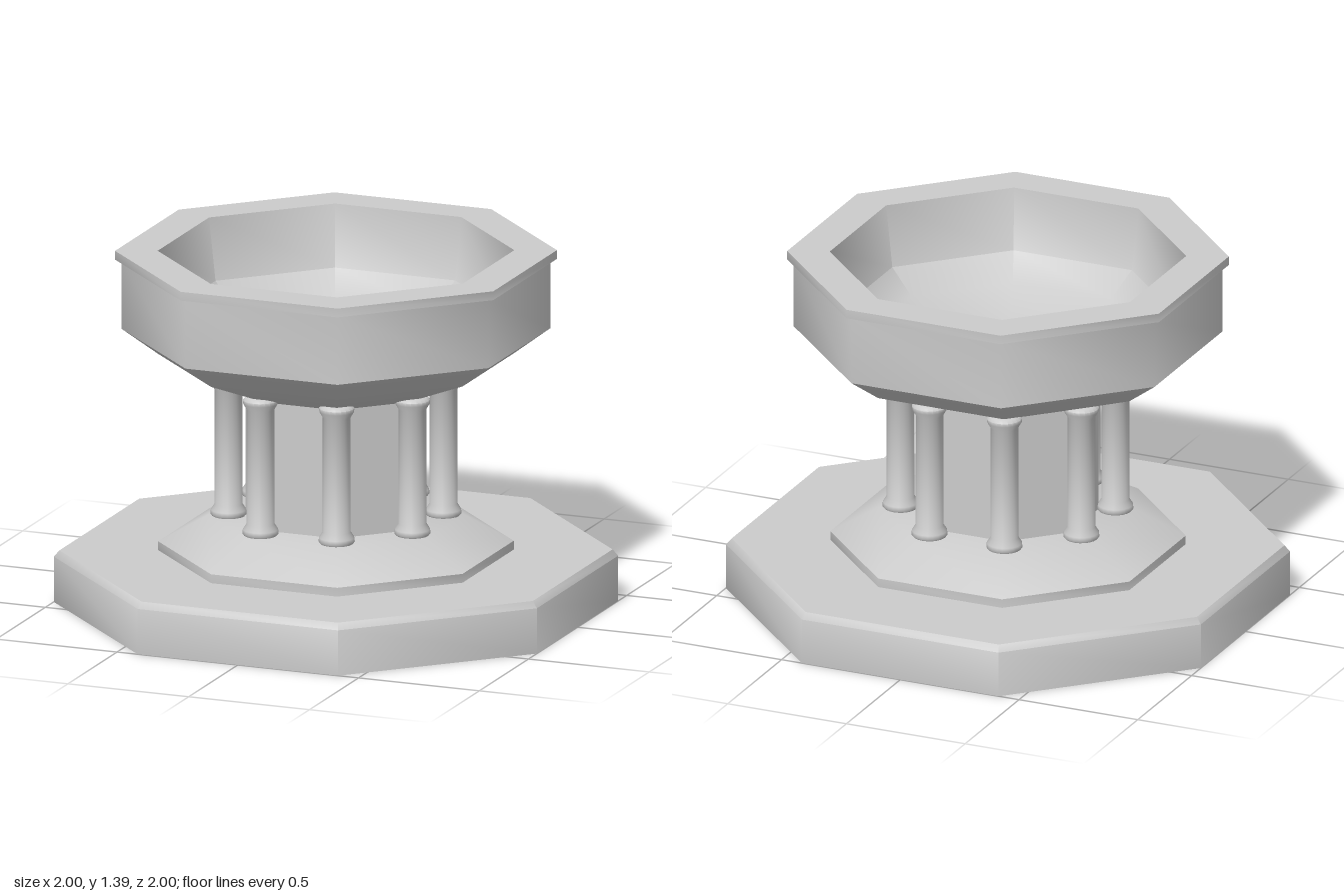
import * as THREE from 'three';
import { toCreasedNormals } from 'three/addons/utils/BufferGeometryUtils.js';

const material = new THREE.MeshStandardMaterial({ color: 0xcccccc });
const SIDES = 8;
const CORNER = Math.PI / SIDES; // turns a flat side to the front

// Octagonal turned solid; profile is [distance to flat side, height]
function octagon(name, profile, crease) {
  const points = profile.map(([a, y]) => new THREE.Vector2(a / Math.cos(CORNER), y));
  const lathe = new THREE.LatheGeometry(points, SIDES, CORNER);
  const mesh = new THREE.Mesh(toCreasedNormals(lathe, THREE.MathUtils.degToRad(crease)), material);
  mesh.name = name;
  return mesh;
}

export function createModel() {
  const group = new THREE.Group();
  group.name = 'octagonalFont';

  // Wide floor slab with a small top bevel
  group.add(octagon('baseSlab', [[0, 0], [1, 0], [1, 0.18], [0.98, 0.205], [0, 0.205]], 50));

  // Sloped plinth under the columns
  group.add(octagon('plinth', [[0.63, 0.2], [0.63, 0.24], [0.455, 0.345], [0, 0.345]], 50));

  // Central pier
  group.add(octagon('pier', [[0.32, 0.34], [0.32, 0.87]], 20));

  // Bowl: outer side, rim, then hollow inside
  group.add(octagon('bowl', [
    [0, 0.865], [0.355, 0.865], [0.63, 0.985], [0.76, 1.085], [0.76, 1.355],
    [0.783, 1.36], [0.783, 1.395], [0.632, 1.395],
    [0.6, 1.15], [0.5, 1.06], [0.28, 0.98], [0, 0.98],
  ], 50));

  // Ring of small columns, one at each corner of the pier
  const columnProfile = [
    [0, 0.34], [0.06, 0.34], [0.07, 0.352], [0.068, 0.368], [0.054, 0.39],
    [0.054, 0.845], [0.067, 0.868], [0.068, 0.882], [0.056, 0.893], [0, 0.893],
  ].map(([r, y]) => new THREE.Vector2(r, y));
  const columnGeometry = toCreasedNormals(new THREE.LatheGeometry(columnProfile, 20), 0.9);
  for (let i = 0; i < SIDES; i++) {
    const angle = CORNER + (i * Math.PI * 2) / SIDES;
    const column = new THREE.Mesh(columnGeometry, material);
    column.name = `column${i + 1}`;
    column.position.set(0.412 * Math.sin(angle), 0, 0.412 * Math.cos(angle));
    group.add(column);
  }

  return group;
}
